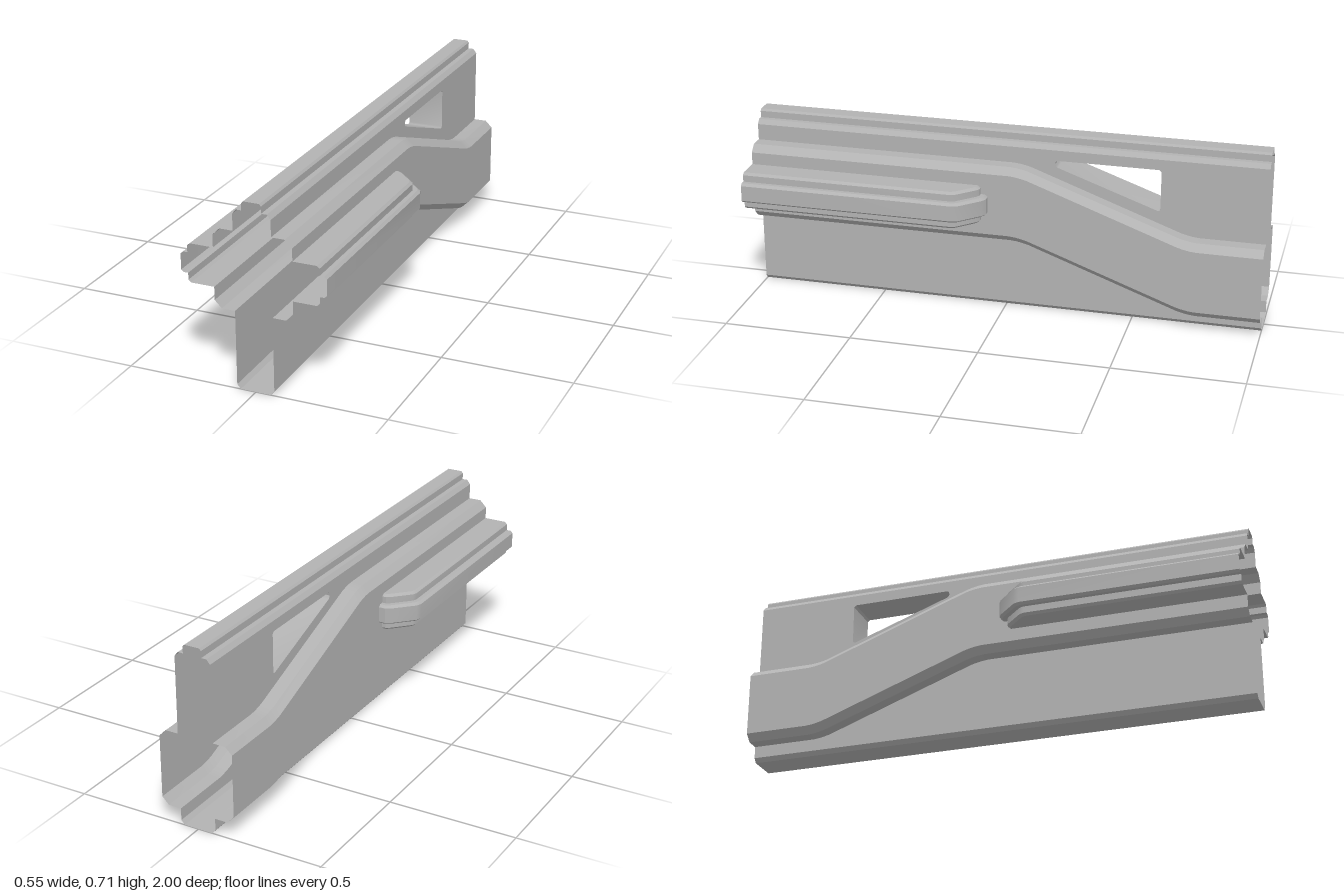
import * as THREE from 'three';
import { toCreasedNormals } from 'three/addons/utils/BufferGeometryUtils.js';

const WALL = 0.072, BAND = 0.15; // half widths of the body and of the raised band

export function createModel() {
  const grey = new THREE.MeshStandardMaterial({ color: 0xb2b2b2, side: THREE.DoubleSide });
  grey.name = 'grey';

  function mesh(name, geometry, parent) {
    const m = new THREE.Mesh(geometry, grey);
    m.name = name;
    parent.add(m);
  }

  // Skin a list of cross-sections, each a list of [x, y, z]
  function skin(rings) {
    const pos = [];
    for (let i = 0; i < rings.length - 1; i++) {
      for (let j = 0; j < rings[i].length - 1; j++) {
        const a = rings[i][j], b = rings[i + 1][j], c = rings[i + 1][j + 1], d = rings[i][j + 1];
        pos.push(...a, ...d, ...c, ...a, ...c, ...b);
      }
    }
    const g = new THREE.BufferGeometry();
    g.setAttribute('position', new THREE.Float32BufferAttribute(pos, 3));
    g.computeVertexNormals();
    return toCreasedNormals(g, 0.5);
  }

  // Upright sheet at x, outlined by [z, y] points
  const v2 = pts => pts.map(([z, y]) => new THREE.Vector2(-z, y));
  function sheet(x, outline, hole) {
    const shape = new THREE.Shape(v2(outline));
    if (hole) shape.holes.push(new THREE.Path(v2(hole)));
    return new THREE.ShapeGeometry(shape).rotateY(Math.PI / 2).translate(x, 0, 0);
  }

  // Height change of the band along z, with softened bends
  const bend = [[-0.03, 0], [-0.055, -0.0025], [-0.08, -0.0075], [-0.1, -0.0127]];
  const path = [[1, 0], ...bend,
    ...bend.map(([z, d]) => [-0.78 - z, -0.237 - d]).reverse(), [-1, -0.237]];
  const along = y => path.map(([z, d]) => [z, y + d]);
  const sweep = profile => skin(path.map(([z, d]) => profile.map(([x, y]) => [x, y + d, z])));
  const straight = profile => skin([1, -1].map(z => profile.map(([x, y]) => [x, y, z])));

  // Triangular window with rounded corners, as [z, y]
  const win = [[-0.2, 0.622], [-0.59, 0.622], [-0.598, 0.614], [-0.598, 0.464],
    [-0.595, 0.458], [-0.588, 0.457], [-0.202, 0.594], [-0.195, 0.6], [-0.192, 0.607], [-0.194, 0.617]];

  // Side rail profile: [inset from the outer face, y]
  const rail = [[0.037, 0.525], [0.027, 0.516], [0.027, 0.49], [0.01, 0.49], [0, 0.481],
    [0, 0.42], [0.01, 0.412], [0.027, 0.412], [0.027, 0.386], [0.037, 0.377]];
  const railX = 0.277, endZ = 0.052;
  // Plan of the rail for a given inset, ending in a bevelled nose
  const plan = d => [[railX - d, 1], [railX - d, 0.16 + 0.41 * d], [railX - 0.008 - 0.93 * d, 0.138 + 0.6 * d],
    [0.196 - 0.6 * d, endZ + 0.011 + 0.93 * d], [0.176 - 0.41 * d, endZ + d], [BAND, endZ + d]];

  function buildSide() {
    const side = new THREE.Group();

    // Body walls above and below the band
    mesh('upperWall', sheet(WALL, [[1, 0.663], ...along(0.6), [-1, 0.663]], win), side);
    mesh('lowerWall', sheet(WALL, [...along(0.3), [-1, 0.016], [1, 0.016]]), side);

    // Raised band with chamfered edges
    mesh('bandTop', sweep([[WALL, 0.6], [0.123, 0.6], [BAND, 0.573]]), side);
    mesh('bandBottom', sweep([[BAND, 0.327], [0.123, 0.3], [WALL, 0.3]]), side);

    // Band face, open behind the rail
    const notch = rail.map(([d, y]) => [endZ + d, y]).reverse();
    mesh('bandFace', sheet(BAND, [...along(0.573), ...along(0.327).reverse(),
      [1, 0.377], ...notch, [1, 0.525]]), side);

    // Stepped side rail and its flat top and bottom
    const plans = rail.map(([d, y]) => plan(d).map(([x, z]) => [x, y, z]));
    mesh('sideRail', skin(plans[0].map((_, i) => plans.map(p => p[i]))), side);
    const inner = p => p.map(([, y, z]) => [BAND, y, z]);
    const last = plans[plans.length - 1];
    mesh('railTop', skin(plans[0].map((p, i) => [inner(plans[0])[i], p])), side);
    mesh('railBottom', skin(last.map((p, i) => [p, inner(last)[i]])), side);
    return side;
  }

  const model = new THREE.Group();
  model.name = 'slottedBeam';
  for (const s of [1, -1]) {
    const side = buildSide();
    side.name = s > 0 ? 'leftSide' : 'rightSide';
    side.scale.x = s;
    model.add(side);
  }

  // Stepped ridge along the top
  const half = [[0.03, 0.714], [0.037, 0.706], [0.037, 0.68], [0.058, 0.68], [WALL, 0.663]];
  mesh('topRidge', straight([...half.map(([x, y]) => [-x, y]).reverse(), ...half]), model);

  // Chamfered underside
  mesh('underside', straight([[WALL, 0.016], [0.058, 0], [-0.058, 0], [-WALL, 0.016]]), model);

  // Tunnel walls of the window
  mesh('windowTunnel', skin([...win, win[0]].map(([z, y]) => [[WALL, y, z], [-WALL, y, z]])), model);

  return model;
}
